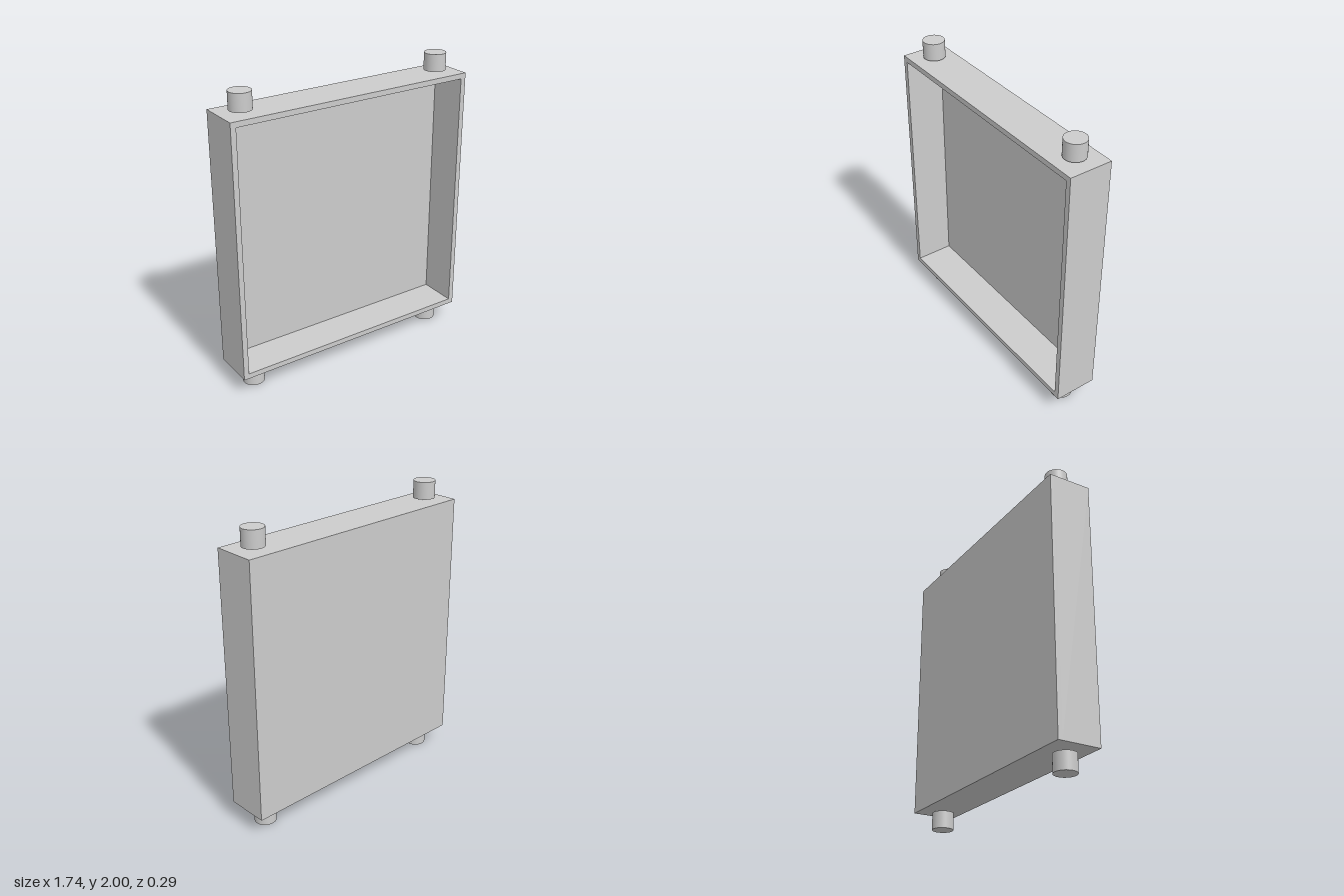
import * as THREE from 'three';

const SIZE = 1.74, DEPTH = 0.29, WALL = 0.036, BACK = 0.029;
const PEG_RADIUS = 0.0725, PEG_HEIGHT = 0.116, PEG_X = 0.725;

export function createModel() {
  const model = new THREE.Group();
  const material = new THREE.MeshStandardMaterial({ color: 0xcccccc });

  const add = (name, geometry, x, y, z) => {
    const mesh = new THREE.Mesh(geometry, material);
    mesh.name = name;
    mesh.position.set(x, y, z);
    model.add(mesh);
  };

  // Square outline centred on the origin
  const square = (Type, size) => {
    const h = size / 2;
    return new Type([[-h, -h], [h, -h], [h, h], [-h, h]].map(([x, y]) => new THREE.Vector2(x, y)));
  };

  // Side walls of the open tray, flush at the front
  const outline = square(THREE.Shape, SIZE);
  outline.holes.push(square(THREE.Path, SIZE - 2 * WALL));
  const frame = new THREE.ExtrudeGeometry(outline, { depth: DEPTH - BACK, bevelEnabled: false });
  add('trayFrame', frame, 0, 1, -DEPTH / 2 + BACK);

  // Solid back of the tray
  add('backPanel', new THREE.BoxGeometry(SIZE, SIZE, BACK), 0, 1, -DEPTH / 2 + BACK / 2);

  // Round pegs, set slightly clear of the top and bottom corners
  const peg = new THREE.CylinderGeometry(PEG_RADIUS, PEG_RADIUS, PEG_HEIGHT, 32);
  for (const [side, x] of [['Left', PEG_X], ['Right', -PEG_X]]) {
    add('top' + side + 'Peg', peg, x, 2 - PEG_HEIGHT / 2, 0);
    add('bottom' + side + 'Peg', peg, x, PEG_HEIGHT / 2, 0);
  }

  return model;
}
